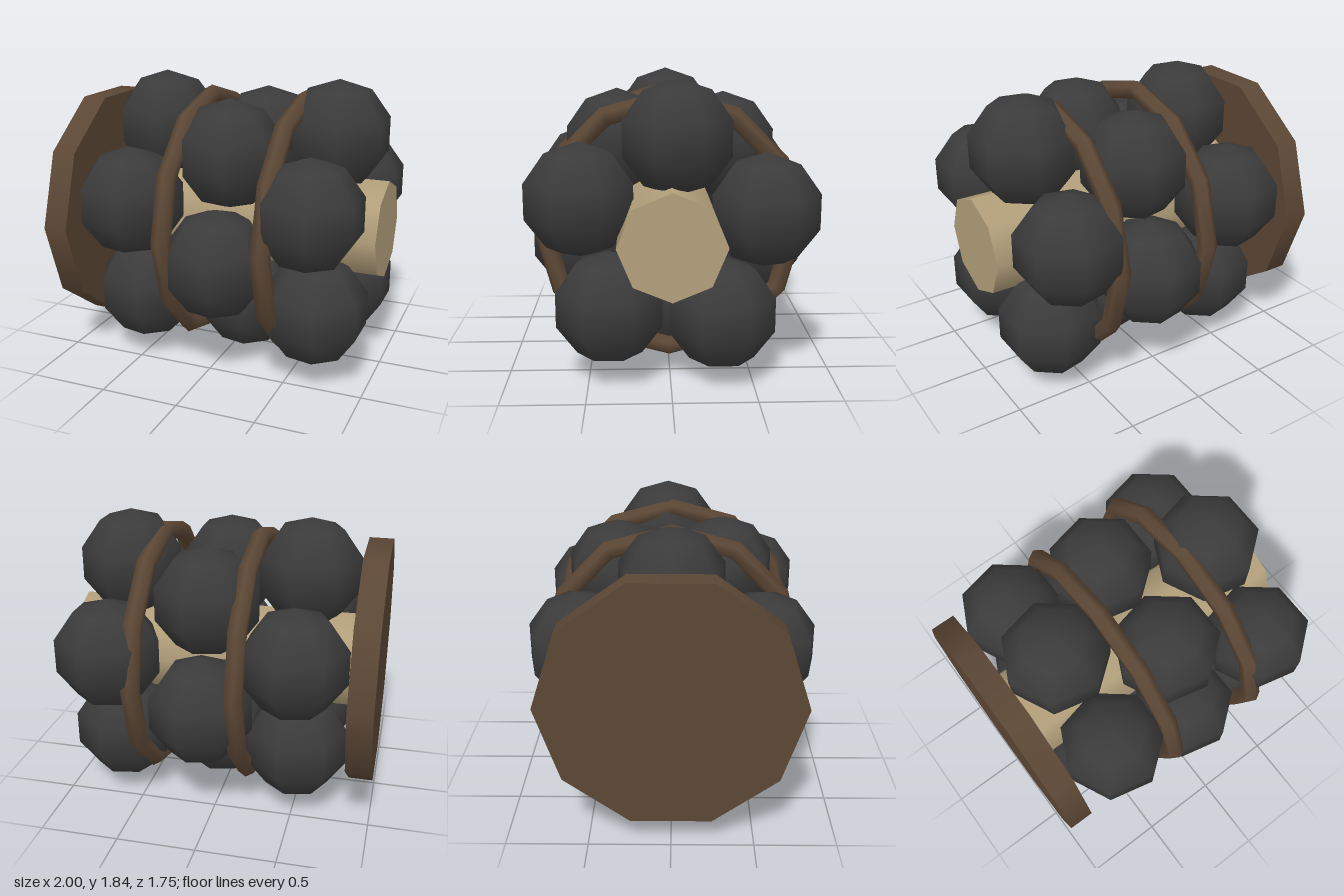
import * as THREE from 'three';

const AXIS_Y = 0.923; // height of the horizontal axle

export function createModel() {
  const model = new THREE.Group();
  model.name = 'ballRoller';

  const wood = new THREE.MeshStandardMaterial({ color: 0xb3a07b });
  wood.name = 'pale wood';
  const brown = new THREE.MeshStandardMaterial({ color: 0x5c4735 });
  brown.name = 'dark brown';
  const iron = new THREE.MeshStandardMaterial({ color: 0x3b3b3b });
  iron.name = 'charcoal';

  const add = (name, geometry, material, x, y = AXIS_Y, z = 0) => {
    const mesh = new THREE.Mesh(geometry, material);
    mesh.name = name;
    mesh.position.set(x, y, z);
    model.add(mesh);
    return mesh;
  };

  // cylinder lying along x between two ends
  const rod = (name, radius, x0, x1, sides, material) => {
    const geometry = new THREE.CylinderGeometry(radius, radius, x1 - x0, sides);
    geometry.rotateZ(-Math.PI / 2);
    add(name, geometry, material, (x0 + x1) / 2);
  };

  // Core and end plate
  rod('axle', 0.315, -0.86, 1, 8, wood);
  rod('endPlate', 0.787, -1, -0.845, 10, brown);

  // Three rings of five balls, each ring twisted on from the last
  const ball = new THREE.SphereGeometry(0.343, 7, 5);
  const ringRadius = 0.577;
  [-0.505, 0.075, 0.655].forEach((x, ring) => {
    for (let i = 0; i < 5; i++) {
      const a = (i / 5) * Math.PI * 2 + ring * 0.66; // from the top towards -z
      add(`ball${ring + 1}_${i + 1}`, ball, iron, x,
        AXIS_Y + ringRadius * Math.cos(a), -ringRadius * Math.sin(a));
    }
  });

  // Hoops binding the balls
  const hoop = new THREE.TorusGeometry(0.78, 0.06, 6, 12);
  hoop.rotateY(Math.PI / 2);
  [-0.187, 0.445].forEach((x, i) => add(`hoop${i + 1}`, hoop, brown, x));

  return model;
}
